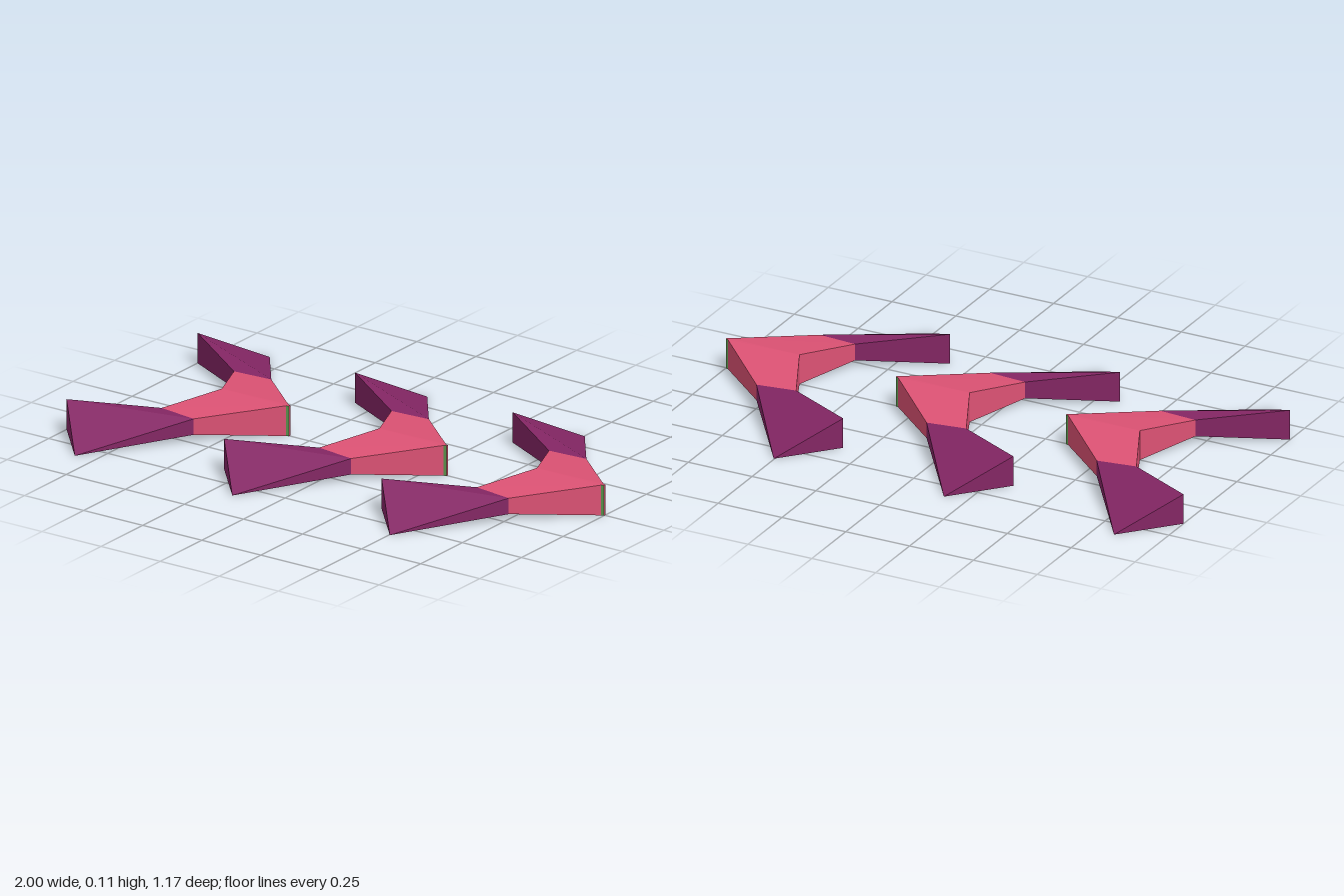
import * as THREE from 'three';

const pink = new THREE.MeshStandardMaterial({ color: 0xdd5274 });
pink.name = 'pink';
const purple = new THREE.MeshStandardMaterial({ color: 0x842664 });
purple.name = 'purple';
const green = new THREE.MeshStandardMaterial({ color: 0x5f9a50 });
green.name = 'green';

// Cross-section corners: outer bottom, outer top, inner top, inner bottom
const section = (outer, inner, low, outerHigh, innerHigh) => [
  [outer[0], low, outer[1]], [outer[0], outerHigh, outer[1]],
  [inner[0], innerHigh, inner[1]], [inner[0], low, inner[1]],
];
const tipSection = section([-0.333, 0.004], [-0.62, 0], 0, 0.112, 0.112);
const noseSection = section([-0.343, 0.007], [-0.62, 0], 0, 0.112, 0.112);
const midSection = section([-0.575, 0.233], [-0.722, 0.217], 0.024, 0.083, 0.086);
const endSection = section([-0.83, 0.585], [-1, 0.393], 0, 0, 0.112);

// Flat-shaded mesh from quads and triangles; side = -1 mirrors across z
function facetMesh(name, material, faces, side) {
  const points = [];
  for (const face of faces) {
    for (let i = 1; i < face.length - 1; i++) {
      const tri = [face[0], face[i], face[i + 1]];
      if (side < 0) tri.reverse();
      const v = tri.map(([x, y, z]) => new THREE.Vector3(x, y, z * side));
      if (new THREE.Triangle(...v).getArea() > 1e-8) points.push(...v);
    }
  }
  const geometry = new THREE.BufferGeometry().setFromPoints(points);
  geometry.computeVertexNormals();
  const mesh = new THREE.Mesh(geometry, material);
  mesh.name = name;
  return mesh;
}

// Side faces joining two cross-sections
const loft = (a, b, sides = [0, 1, 2, 3]) => sides.map((i) => {
  const j = (i + 1) % 4;
  return [a[i], a[j], b[j], b[i]];
});

function makeChevron() {
  const chevron = new THREE.Group();
  chevron.name = 'chevron';
  for (const side of [1, -1]) {
    const label = side > 0 ? 'front' : 'back';
    // Pink half of the arrow head, including the sliver of top and bottom at the nose
    chevron.add(facetMesh(label + 'Head', pink,
      [...loft(noseSection, midSection), ...loft(tipSection, noseSection, [1, 3])], side));
    // Thin green edge beside the nose
    chevron.add(facetMesh(label + 'NoseEdge', green, loft(tipSection, noseSection, [0]), side));
    // Purple flared wing with a triangular end
    chevron.add(facetMesh(label + 'Wing', purple,
      [...loft(midSection, endSection), endSection.slice(1)], side));
  }
  // Narrow blunt nose
  const [low, high] = tipSection;
  const flip = ([x, y, z]) => [x, y, -z];
  chevron.add(facetMesh('nose', pink, [
    [low, flip(low), flip(high), high],
    [high, flip(high), tipSection[2]],
    [flip(low), low, tipSection[3]],
  ], 1));
  return chevron;
}

export function createModel() {
  const model = new THREE.Group();
  model.name = 'chevronRow';
  for (let i = 0; i < 3; i++) {
    const chevron = makeChevron();
    chevron.position.x = i * 0.6665;
    model.add(chevron);
  }
  return model;
}
